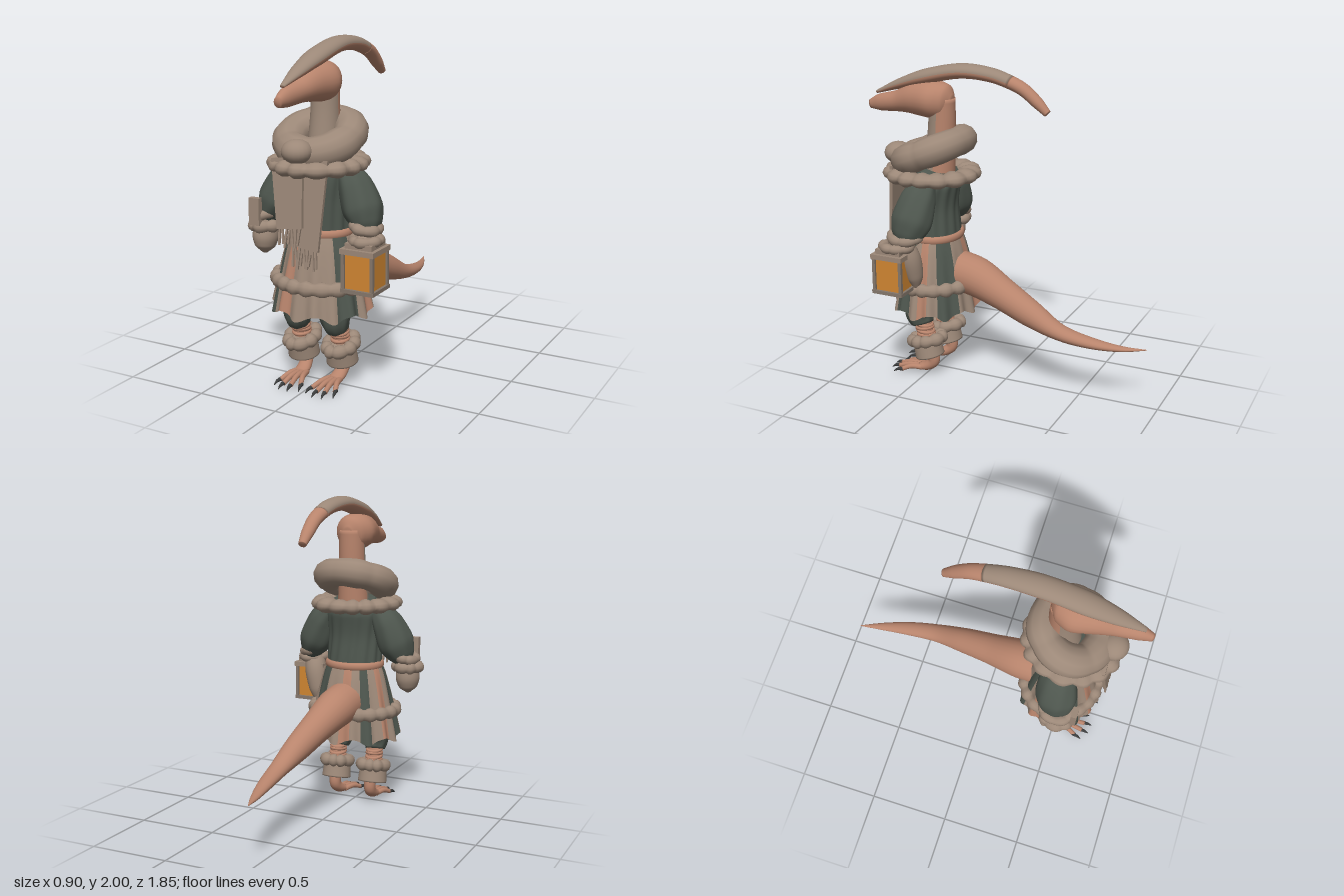
import * as THREE from 'three';
import { mergeVertices } from 'three/addons/utils/BufferGeometryUtils.js';

const paint = (name, color, side = THREE.FrontSide) => {
  const m = new THREE.MeshStandardMaterial({ color, side });
  m.name = name;
  return m;
};

export function createModel() {
  const root = new THREE.Group();
  root.name = 'crestedTraveller';
  const skin = paint('skin', 0xb8846c, THREE.DoubleSide);
  const fur = paint('furAndWool', 0x9c8878, THREE.DoubleSide);
  const coat = paint('coat', 0x4e564e, THREE.DoubleSide);
  const claw = paint('claw', 0x3c3d3d);
  const glass = paint('lanternGlass', 0xd08632);
  const metal = paint('lanternFrame', 0x85776b);

  const add = (name, geo, mat, pos = [0, 0, 0]) => {
    const m = new THREE.Mesh(geo, mat);
    m.name = name;
    m.position.set(...pos);
    root.add(m);
    return m;
  };
  const box = (name, mat, size, pos) => add(name, new THREE.BoxGeometry(...size), mat, pos);
  const indexed = (pos, idx) => {
    let g = new THREE.BufferGeometry();
    g.setAttribute('position', new THREE.Float32BufferAttribute(pos, 3));
    g.setIndex(idx);
    return g;
  };

  // Smooth sweep through stations [x, y, z, width radius, other radius]
  function loft(name, mat, st, { a0 = 0, a1 = Math.PI * 2, u0 = 0, u1 = 1, fold = 0, folds = 9, seg = 24 } = {}) {
    const path = new THREE.CatmullRomCurve3(st.map(s => new THREE.Vector3(s[0], s[1], s[2])));
    const size = new THREE.CatmullRomCurve3(st.map(s => new THREE.Vector3(s[3], s[4] ?? s[3], 0)));
    const rows = st.length * 5, pos = [], idx = [];
    for (let i = -1; i <= rows + 1; i++) {
      const u = u0 + (u1 - u0) * Math.min(Math.max(i / rows, 0), 1);
      const c = path.getPoint(u), r = size.getPoint(u), t = path.getTangent(u);
      const side = new THREE.Vector3(1, 0, 0).addScaledVector(t, -t.x).normalize();
      const up = side.clone().cross(t);
      const cap = i < 0 || i > rows ? 0.001 : 1;
      for (let j = 0; j <= seg; j++) {
        const a = a0 + (a1 - a0) * j / seg, k = cap * (1 + fold * Math.sin(folds * a + 5 * u));
        const p = c.clone().addScaledVector(side, Math.cos(a) * r.x * k).addScaledVector(up, Math.sin(a) * r.y * k);
        pos.push(p.x, p.y, p.z);
      }
    }
    const w = seg + 1;
    for (let i = 0; i < rows + 2; i++) for (let j = 0; j < seg; j++) {
      const a = i * w + j, b = a + w;
      idx.push(a, b, a + 1, b, b + 1, a + 1);
    }
    const g = mergeVertices(indexed(pos, idx), 1e-5);
    g.computeVertexNormals();
    return add(name, g, mat);
  }

  // Padded or furry ring with pillow-like lumps
  function ring(name, mat, pos, rx, rz, w, h, { lumps = 0, amp = 0, tilt = 0, roll = 0 } = {}) {
    let g = new THREE.TorusGeometry(1, 0.5, 12, 96).rotateX(Math.PI / 2);
    g.deleteAttribute('uv');
    g.deleteAttribute('normal');
    g = mergeVertices(g, 1e-4);
    const p = g.attributes.position;
    for (let i = 0; i < p.count; i++) {
      const x = p.getX(i), z = p.getZ(i), a = Math.atan2(z, x), d = (Math.hypot(x, z) - 1) * 2;
      const k = 1 + amp * (2 * Math.abs(Math.sin(lumps * a / 2 + 0.4 * Math.sin(3 * a))) - 1) * (0.8 + 0.2 * Math.sin(5 * a));
      p.setXYZ(i, Math.cos(a) * (rx + d * w * k), p.getY(i) * 2 * h * k, Math.sin(a) * (rz + d * w * k));
    }
    g.computeVertexNormals();
    const m = add(name, g, mat, pos);
    m.rotation.set(tilt, 0, roll);
    return m;
  }

  // Head, neck and long backswept crest
  loft('head', skin, [[0, 1.705, 0.92, 0.022, 0.028], [0, 1.72, 0.85, 0.042, 0.052], [0, 1.74, 0.72, 0.065, 0.066],
    [0, 1.765, 0.6, 0.1, 0.1], [0, 1.77, 0.48, 0.125, 0.115], [0, 1.765, 0.39, 0.09, 0.1], [0, 1.76, 0.35, 0.03, 0.04]]);
  const neck = [[0, 1.3, 0.45, 0.1], [0, 1.6, 0.425, 0.083, 0.085], [0, 1.785, 0.42, 0.08]];
  loft('neckFront', fur, neck, { a1: Math.PI });
  loft('neckBack', skin, neck, { a0: Math.PI });
  const crest = [[0, 1.785, 0.87, 0.015, 0.01], [0, 1.85, 0.7, 0.05, 0.032], [0, 1.912, 0.5, 0.07, 0.046],
    [0, 1.955, 0.28, 0.068, 0.045], [0, 1.945, 0.1, 0.06, 0.042], [0, 1.92, 0, 0.053, 0.04],
    [0, 1.875, -0.11, 0.045, 0.038], [0, 1.805, -0.2, 0.038, 0.034], [0, 1.745, -0.265, 0.025, 0.022]];
  loft('crestTop', fur, crest, { a1: Math.PI, u1: 0.66 });
  loft('crestUnderside', skin, crest, { a0: Math.PI, u1: 0.66 });
  loft('crestTip', skin, crest, { u0: 0.66 });

  // Tail
  loft('tail', skin, [[0, 0.7, 0.36, 0.13], [0.01, 0.675, 0.2, 0.125], [0.04, 0.6, 0, 0.1], [0.07, 0.515, -0.2, 0.082],
    [0.09, 0.435, -0.4, 0.06, 0.048], [0.075, 0.395, -0.6, 0.046, 0.032], [0.04, 0.377, -0.78, 0.025, 0.016], [0, 0.38, -0.92, 0.002]]);

  // Coat body with folds, and belt
  loft('coatBody', coat, [[0, 0.85, 0.47, 0.18, 0.15], [0, 0.95, 0.475, 0.178, 0.145], [0, 1.1, 0.485, 0.175, 0.14],
    [0, 1.25, 0.48, 0.185, 0.15], [0, 1.35, 0.46, 0.13, 0.13]], { fold: 0.025, folds: 14, seg: 84 });
  ring('belt', skin, [0, 0.925, 0.473], 0.178, 0.15, 0.016, 0.025);

  // Patchwork skirt: one surface, coloured in vertical strips
  {
    const strips = 'fccffffsfcfcfsfcfsffccfs', key = { f: 0, c: 1, s: 2 };
    const cols = 144, rows = 10, pos = [], idx = [];
    for (let j = 0; j <= cols; j++) for (let i = 0; i <= rows; i++) {
      const a = j / cols * Math.PI * 2, t = i / rows, e = Math.pow(t, 0.8);
      const k = 1 + 0.045 * t * Math.sin(16 * a);
      pos.push(Math.cos(a) * (0.185 + 0.11 * e) * k, 0.92 - t * (0.465 + 0.02 * Math.sin(8 * a + 1)),
        0.475 + Math.sin(a) * (0.155 + 0.105 * e) * k);
    }
    for (let j = 0; j < cols; j++) for (let i = 0; i < rows; i++) {
      const a = j * (rows + 1) + i, b = a + rows + 1;
      idx.push(a, b, a + 1, b, b + 1, a + 1);
    }
    const g = indexed(pos, idx), step = cols / strips.length * rows * 6;
    [...strips].forEach((c, i) => g.addGroup(i * step, step, key[c]));
    g.computeVertexNormals();
    add('skirt', g, [fur, coat, skin]);
  }
  ring('skirtFurTrim', fur, [0, 0.63, 0.475], 0.27, 0.235, 0.035, 0.038, { lumps: 20, amp: 0.25 });

  // Fur collar and wound scarf
  ring('furCollar', fur, [0, 1.315, 0.5], 0.215, 0.235, 0.065, 0.042, { lumps: 15, amp: 0.22 });
  ring('scarfLoop', fur, [0, 1.46, 0.485], 0.175, 0.18, 0.097, 0.09, { lumps: 5, amp: 0.05, tilt: 0.38 });
  const knot = add('scarfKnot', new THREE.SphereGeometry(1, 20, 14), fur, [0, 1.415, 0.735]);
  knot.scale.set(0.088, 0.068, 0.085);
  function scarfEnd(name, pts, z, fringeX, fringeY, length, n) {
    const g = new THREE.ExtrudeGeometry(new THREE.Shape(pts.map(p => new THREE.Vector2(...p))), { depth: 0.02, bevelEnabled: false });
    const end = add(name, g, fur, [0, 1.37, z]);
    end.rotation.x = -0.09;
    for (let i = 0; i < n; i++) {
      const f = new THREE.Mesh(new THREE.BoxGeometry(0.011, length, 0.012), fur);
      f.name = 'scarfFringe';
      f.position.set(fringeX[0] + (fringeX[1] - fringeX[0]) * i / (n - 1), fringeY - length / 2 + 0.012 * Math.sin(i * 2.4), 0.01);
      f.rotation.z = 0.15 * Math.sin(i * 1.9);
      end.add(f);
    }
  }
  scarfEnd('shortScarfEnd', [[-0.17, -0.01], [-0.12, -0.4], [0.04, -0.38], [0.03, 0.02]], 0.71, [-0.105, 0.02], -0.38, 0.11, 7);
  scarfEnd('longScarfEnd', [[-0.02, 0], [-0.035, -0.49], [0.13, -0.51], [0.17, 0]], 0.68, [-0.03, 0.115], -0.48, 0.13, 9);

  // Arms, legs and feet, mirrored
  for (const s of [1, -1]) {
    const side = s > 0 ? 'left' : 'right';
    loft(side + 'Sleeve', coat, [[s * 0.15, 1.29, 0.47, 0.055, 0.07], [s * 0.22, 1.2, 0.48, 0.095, 0.11],
      [s * 0.275, 1.08, 0.495, 0.112, 0.125], [s * 0.31, 1.0, 0.51, 0.085, 0.1], [s * 0.325, 0.95, 0.52, 0.05, 0.06]],
      { fold: 0.02, folds: 7, seg: 42 });
    loft(side + 'Trouser', coat, [[s * 0.1, 0.75, 0.48, 0.1, 0.12], [s * 0.11, 0.52, 0.53, 0.1, 0.11],
      [s * 0.125, 0.41, 0.54, 0.08, 0.095], [s * 0.13, 0.35, 0.52, 0.06, 0.07]], { fold: 0.03, folds: 8, seg: 40 });
    loft(side + 'Shin', skin, [[s * 0.13, 0.4, 0.52, 0.05], [s * 0.13, 0.25, 0.49, 0.048]]);
    for (let i = 0; i < 4; i++)
      ring(side + 'AnkleWrap', skin, [s * 0.13, 0.285 + i * 0.022, 0.496 + i * 0.005], 0.046, 0.052, 0.011, 0.011, { tilt: 0.1 - 0.2 * (i % 2) });
    loft(side + 'Boot', fur, [[s * 0.13, 0.27, 0.5, 0.085, 0.09], [s * 0.13, 0.2, 0.485, 0.09, 0.09], [s * 0.13, 0.14, 0.472, 0.095, 0.092]]);
    ring(side + 'BootFur', fur, [s * 0.13, 0.25, 0.49], 0.075, 0.1, 0.035, 0.036, { lumps: 9, amp: 0.2, tilt: 0.22 });

    // Clawed foot
    loft(side + 'Foot', skin, [[s * 0.125, 0.17, 0.455, 0.04], [s * 0.125, 0.1, 0.448, 0.037], [s * 0.12, 0.06, 0.49, 0.042, 0.032],
      [s * 0.115, 0.042, 0.55, 0.045, 0.022]]);
    for (const [dx, tip] of [[-0.075, 0.67], [-0.025, 0.7], [0.025, 0.695], [0.07, 0.655]]) {
      const x = s * (0.113 + dx), x0 = s * (0.115 + dx * 0.35);
      loft(side + 'Toe', skin, [[x0, 0.045, 0.52, 0.02, 0.018], [(x0 + x) / 2, 0.046, (tip + 0.54) / 2, 0.016], [x, 0.024, tip, 0.014]], { seg: 12 });
      loft(side + 'Claw', claw, [[x, 0.027, tip - 0.01, 0.013], [x + s * dx * 0.12, 0.022, tip + 0.025, 0.009],
        [x + s * dx * 0.2, 0.006, tip + 0.05, 0.002]], { seg: 10 });
    }
  }

  // Right cuff and mitten
  ring('rightCuff', fur, [-0.335, 0.985, 0.52], 0.06, 0.08, 0.032, 0.03, { lumps: 6, amp: 0.12, roll: 0.3 });
  ring('rightCuffFur', fur, [-0.345, 0.92, 0.53], 0.065, 0.075, 0.036, 0.034, { lumps: 7, amp: 0.2 });
  loft('rightMitten', fur, [[-0.345, 0.94, 0.53, 0.06], [-0.345, 0.85, 0.535, 0.076, 0.08], [-0.345, 0.79, 0.54, 0.06, 0.065], [-0.345, 0.75, 0.545, 0.015]]);
  box('rightThumb', fur, [0.068, 0.16, 0.035], [-0.35, 1.015, 0.63]);

  // Left cuff and mitten holding the lantern
  ring('leftCuff', fur, [0.315, 0.985, 0.525], 0.06, 0.085, 0.032, 0.03, { lumps: 6, amp: 0.12, roll: -0.25 });
  ring('leftCuffFur', fur, [0.34, 0.925, 0.57], 0.068, 0.085, 0.03, 0.028, { lumps: 7, amp: 0.12 });
  loft('leftMitten', fur, [[0.325, 0.95, 0.55, 0.06], [0.3, 0.85, 0.51, 0.07], [0.275, 0.72, 0.485, 0.055, 0.05], [0.27, 0.65, 0.48, 0.02]]);

  // Lantern
  const lx = 0.34, lz = 0.588;
  box('lanternBase', metal, [0.205, 0.022, 0.205], [lx, 0.65, lz]);
  box('lanternGlass', glass, [0.172, 0.22, 0.172], [lx, 0.76, lz]);
  box('lanternRoof', fur, [0.21, 0.03, 0.21], [lx, 0.875, lz]);
  box('lanternCap', fur, [0.165, 0.04, 0.165], [lx, 0.9, lz]);
  for (const sx of [-1, 1]) for (const sz of [-1, 1])
    box('lanternPost', metal, [0.02, 0.22, 0.02], [lx + sx * 0.089, 0.76, lz + sz * 0.089]);

  return root;
}
